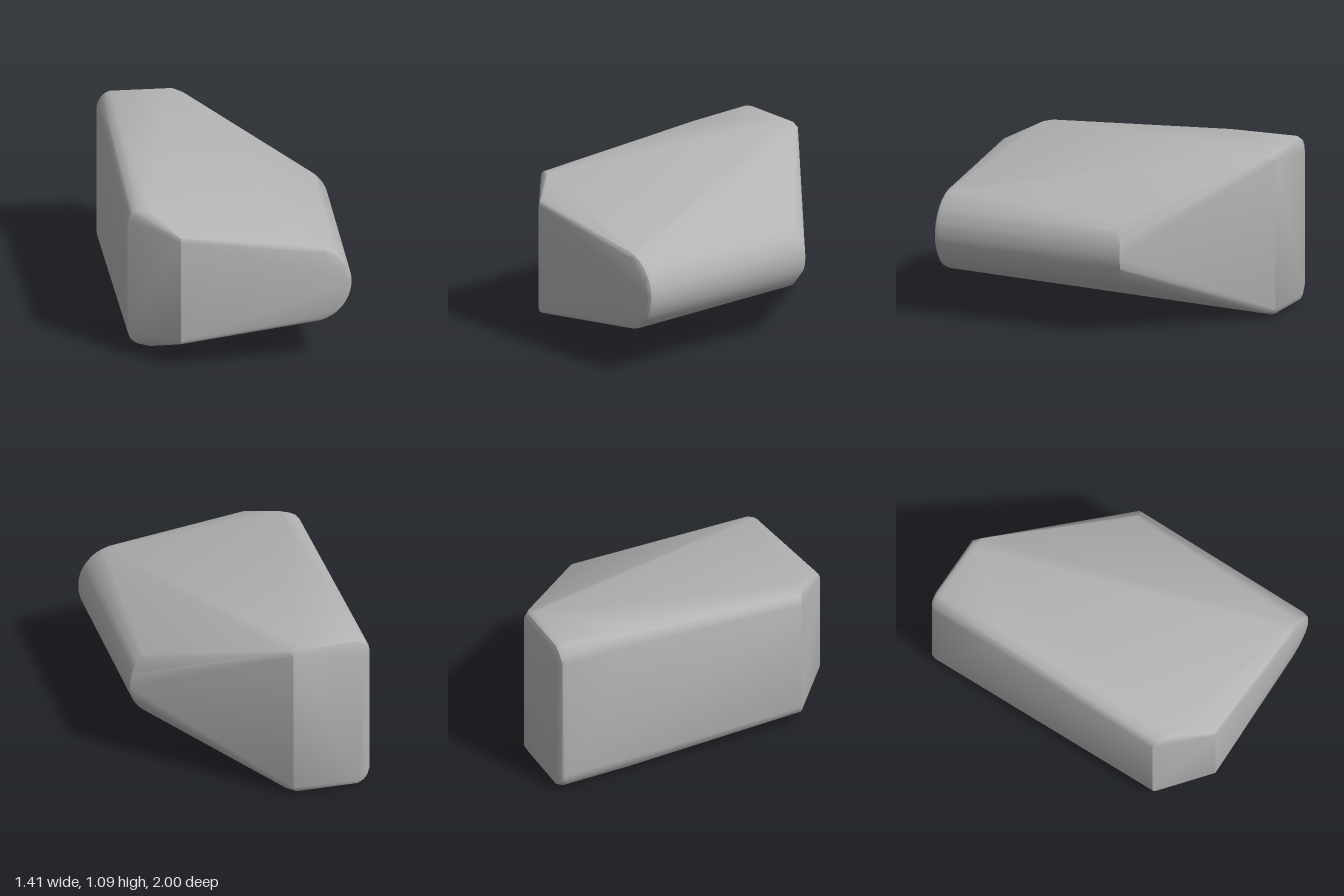
import * as THREE from 'three';
import { ConvexGeometry } from 'three/addons/geometries/ConvexGeometry.js';
import { toCreasedNormals } from 'three/addons/utils/BufferGeometryUtils.js';

const MID = 0.548; // height of the mirror plane

export function createModel() {
  const group = new THREE.Group();
  const stone = new THREE.MeshStandardMaterial({ color: 0xb4b4b4 });
  const points = [];
  const add = (x, dy, z) => {
    points.push(new THREE.Vector3(x, MID + dy, z), new THREE.Vector3(x, MID - dy, z));
  };
  // rounded nose: an arc about a horizontal axis, limited to +-span degrees
  const arc = (r, z, span) => {
    const n = 8;
    for (let i = 0; i <= n; i++) {
      const a = THREE.MathUtils.degToRad((span * i) / n);
      add(0.435 + r * Math.cos(a), r * Math.sin(a), z);
    }
  };

  // nose, with softened ends
  arc(0.27, -0.27, 50);
  arc(0.268, -0.3, 20);
  arc(0.27, 0.955, 78);
  arc(0.261, 0.987, 78);
  arc(0.24, 1, 78);

  // tall back end with softened left corner
  [
    [-0.709, 0.43, -0.95], [-0.7, 0.475, -0.95], [-0.68, 0.51, -0.95],
    [-0.65, 0.537, -0.95], [-0.61, 0.547, -0.95], [-0.24, 0.545, -0.95],
    [-0.7, 0.43, -0.975], [-0.685, 0.475, -0.983], [-0.66, 0.51, -0.985],
    [-0.62, 0.532, -0.985], [-0.215, 0.53, -0.983],
    [-0.66, 0.43, -1], [-0.62, 0.495, -1], [-0.19, 0.495, -1],
    [-0.15, 0.51, -0.955],
    // left top edge
    [-0.62, 0.541, -0.5], [-0.68, 0.505, -0.5], [-0.709, 0.43, -0.5],
    // chamfered front left corner
    [-0.709, 0.39, 0.72], [-0.697, 0.425, 0.725], [-0.675, 0.45, 0.735],
    [-0.64, 0.463, 0.75], [-0.57, 0.467, 0.785],
    [-0.405, 0.345, 0.996], [-0.4, 0.345, 1], [-0.4, 0.37, 0.99], [-0.4, 0.383, 0.965],
  ].forEach((p) => add(...p));

  const body = new THREE.Mesh(toCreasedNormals(new ConvexGeometry(points), 0.6), stone);
  body.name = 'body';
  group.add(body);
  return group;
}
